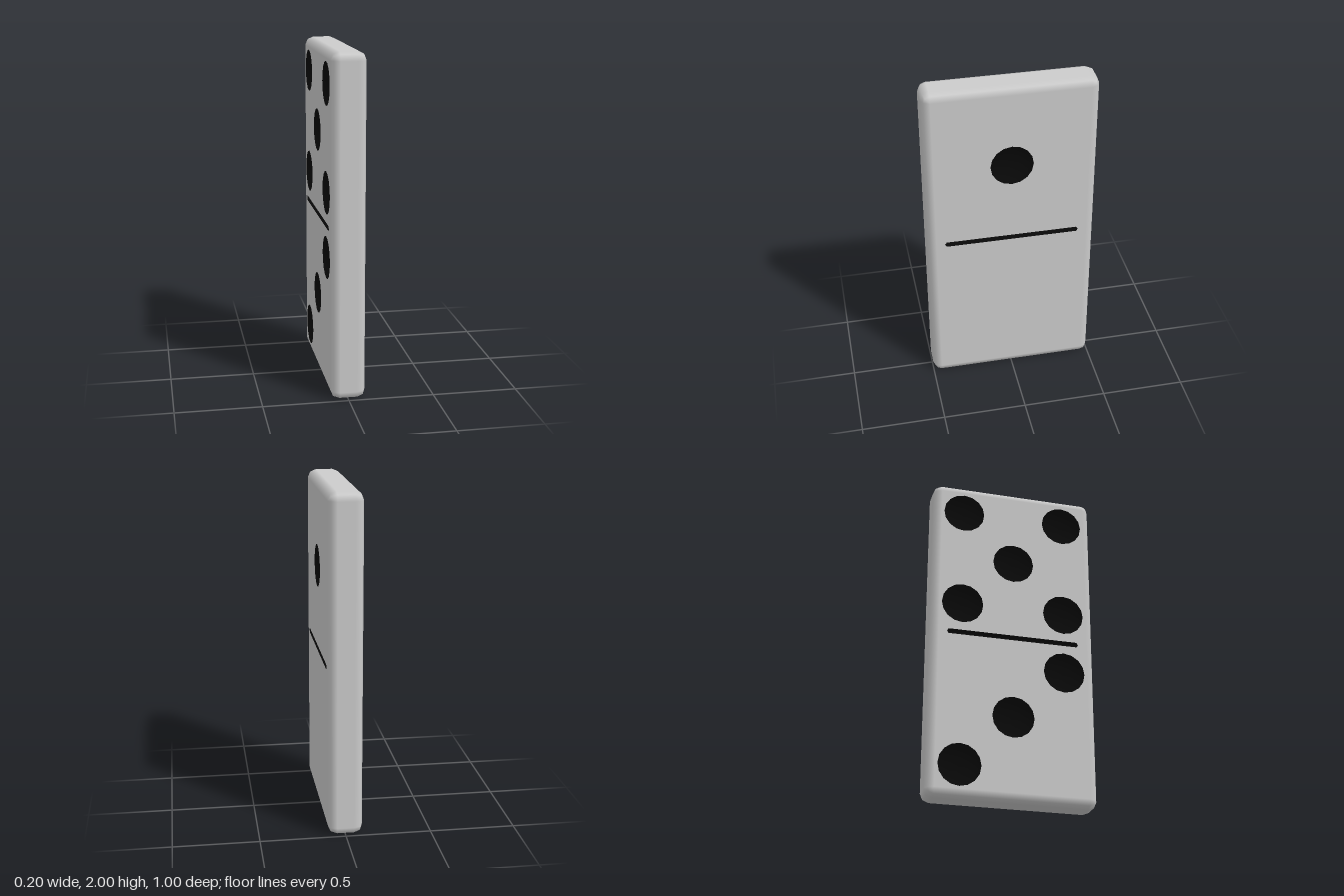
import * as THREE from 'three';

const W = 0.5, H = 1, D = 0.1, R = 0.05; // half width, half height, half thickness, edge radius
const PIP_R = 0.125, PIP_DEPTH = 0.045, PIP_SIDES = 16;
const ivory = new THREE.MeshStandardMaterial({ color: 0xcccccc });
const ink = new THREE.MeshStandardMaterial({ color: 0x080808 });

// Skin a list of closed loops, each an array of Vector3
function loft(rings) {
  const n = rings[0].length, index = [];
  for (let j = 0; j < rings.length - 1; j++) {
    for (let i = 0; i < n; i++) {
      const a = j * n + i, b = j * n + (i + 1) % n;
      index.push(a, b, b + n, a, b + n, a + n);
    }
  }
  const geometry = new THREE.BufferGeometry().setFromPoints(rings.flat());
  geometry.setIndex(index);
  geometry.computeVertexNormals();
  return geometry;
}

function circle(radius, z) {
  return Array.from({ length: PIP_SIDES }, (_, i) => {
    const a = (i / PIP_SIDES) * Math.PI * 2;
    return new THREE.Vector3(radius * Math.cos(a), radius * Math.sin(a), z);
  });
}

function addMesh(parent, name, geometry, material) {
  const mesh = new THREE.Mesh(geometry, material);
  mesh.name = name;
  parent.add(mesh);
  return mesh;
}

// Rounded rim around the tile, open where the two faces sit
function rimGeometry() {
  const rings = [];
  for (const [side, angles] of [[-1, [-90, -45, 0]], [1, [0, 45, 90]]]) {
    for (const deg of angles) {
      const phi = THREE.MathUtils.degToRad(deg), r = R * Math.cos(phi), ring = [];
      [[1, 1], [-1, 1], [-1, -1], [1, -1]].forEach(([sx, sy], k) => {
        for (let s = 0; s < 3; s++) {
          const a = (k + s / 2) * Math.PI / 2;
          ring.push(new THREE.Vector3(sx * (W - R) + r * Math.cos(a), sy * (H - R) + r * Math.sin(a),
            side * (D - R) + R * Math.sin(phi)));
        }
      });
      rings.push(ring);
    }
  }
  const geometry = loft(rings);
  // Normals point away from the inner box, so edges blend smoothly into the faces
  const core = new THREE.Vector3(W - R, H - R, D - R), low = core.clone().negate();
  const pos = geometry.attributes.position, p = new THREE.Vector3();
  for (let i = 0; i < pos.count; i++) {
    p.fromBufferAttribute(pos, i);
    p.sub(p.clone().clamp(low, core)).normalize();
    geometry.attributes.normal.setXYZ(i, p.x, p.y, p.z);
  }
  return geometry;
}

// One face with its sunken pips and dividing groove, facing +z
function createFace(name, pips) {
  const face = new THREE.Group();
  face.name = name;
  const w = W - R, h = H - R;
  const shape = new THREE.Shape([[-w, -h], [w, -h], [w, h], [-w, h]].map(([x, y]) => new THREE.Vector2(x, y)));

  // Shallow bowl for each pip
  const bowl = loft([0, 0.35, 0.7, 1].map((t) => {
    const a = t * Math.PI / 2;
    return circle(PIP_R * Math.cos(a), -PIP_DEPTH * Math.sin(a));
  }));
  for (const [x, y] of pips) {
    shape.holes.push(new THREE.Path(circle(PIP_R, 0).map((p) => new THREE.Vector2(p.x + x, p.y + y))));
    addMesh(face, 'pip', bowl, ink).position.set(x, y, D);
  }

  // Groove with pointed ends
  const outline = [[0.4, 0], [0.39, 0.015], [-0.39, 0.015], [-0.4, 0], [-0.39, -0.015], [0.39, -0.015]];
  shape.holes.push(new THREE.Path(outline.map(([x, y]) => new THREE.Vector2(x, y))));
  const groove = loft([
    outline.map(([x, y]) => new THREE.Vector3(x, y, 0)),
    outline.map(([x, y]) => new THREE.Vector3(x * 0.98, y * 0.6, -0.015)),
    outline.map(([x]) => new THREE.Vector3(x * 0.97, 0, -0.02)),
  ]);
  addMesh(face, 'dividerGroove', groove, ink).position.z = D;

  addMesh(face, 'facePlate', new THREE.ShapeGeometry(shape), ivory).position.z = D;
  return face;
}

export function createModel() {
  const model = new THREE.Group();
  model.name = 'dominoTile';

  const rim = addMesh(model, 'roundedRim', rimGeometry(), ivory);
  rim.rotation.y = Math.PI / 2;
  rim.position.y = H;

  // One-and-blank side
  const plain = createFace('onePipFace', [[0, 0.5]]);
  plain.rotation.y = Math.PI / 2;
  plain.position.y = H;

  // Five-and-three side
  const s = 0.31;
  const five = [[0, 0], [-s, -s], [-s, s], [s, -s], [s, s]].map(([x, y]) => [x, y + 0.5]);
  const three = [[0, 0], [s, s], [-s, -s]].map(([x, y]) => [x, y - 0.5]);
  const dotted = createFace('fiveThreeFace', [...five, ...three]);
  dotted.rotation.y = -Math.PI / 2;
  dotted.position.y = H;

  model.add(plain, dotted);
  return model;
}
